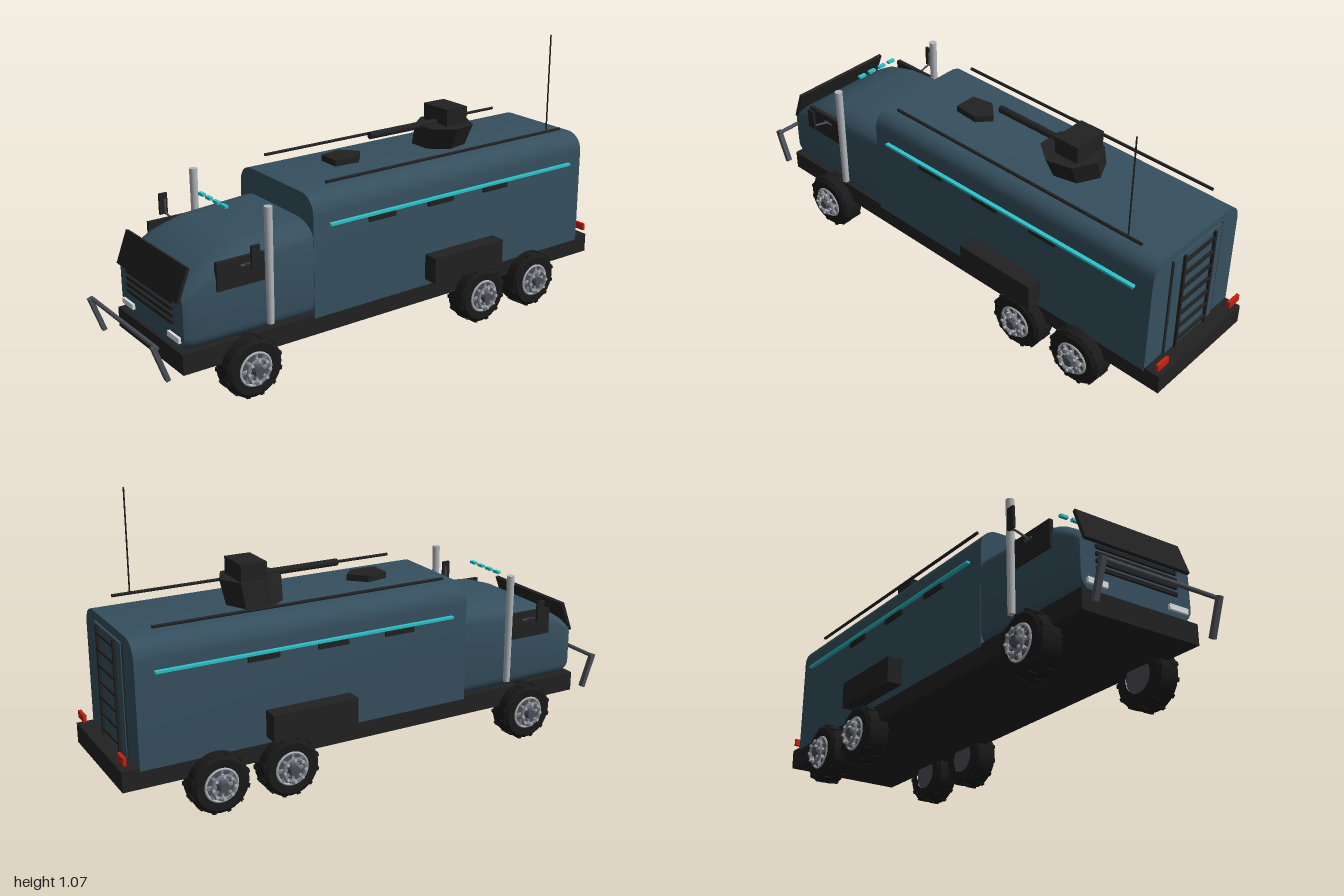
import * as THREE from 'three';
import { toCreasedNormals } from 'three/addons/utils/BufferGeometryUtils.js';

const mat = (name, color) => {
  const m = new THREE.MeshStandardMaterial({ color });
  m.name = name;
  return m;
};

export function createModel() {
  const root = new THREE.Group();
  root.name = 'armouredTruck';
  const paint = mat('bluePaint', 0x36505f);
  const black = mat('blackTrim', 0x222222);
  const rubber = mat('rubber', 0x1a1a1a);
  const grey = mat('greyMetal', 0x4c4f57);
  const chrome = mat('chrome', 0xb4b8bc);
  const rim = mat('rimMetal', 0x7d828a);
  const cyan = mat('cyanLight', 0x2bc4cc);
  const lamp = mat('headlightGlass', 0xdde3e6);
  const red = mat('tailRed', 0xc42210);

  const add = (name, geo, m, x = 0, y = 0, z = 0, parent = root) => {
    const mesh = new THREE.Mesh(geo, m);
    mesh.name = name;
    mesh.position.set(x, y, z);
    parent.add(mesh);
    return mesh;
  };
  const box = (name, w, h, d, m, x, y, z, parent) =>
    add(name, new THREE.BoxGeometry(w, h, d), m, x, y, z, parent);
  // round bar between two points
  const bar = (name, a, b, r, m, sides = 8) => {
    const p = new THREE.Vector3(...a), q = new THREE.Vector3(...b);
    const d = q.clone().sub(p);
    const mesh = add(name, new THREE.CylinderGeometry(r, r, d.length(), sides), m);
    mesh.position.copy(p.add(q).multiplyScalar(0.5));
    mesh.quaternion.setFromUnitVectors(new THREE.Vector3(0, 1, 0), d.normalize());
    return mesh;
  };

  // chassis
  box('chassis', 0.48, 0.075, 1.89, black, 0, 0.1825, -0.055);

  // cargo body: rounded-top section extruded along z
  const s = new THREE.Shape();
  s.moveTo(-0.243, 0.21);
  s.lineTo(0.243, 0.21);
  s.lineTo(0.24, 0.59);
  s.quadraticCurveTo(0.238, 0.652, 0.175, 0.662);
  s.lineTo(-0.175, 0.662);
  s.quadraticCurveTo(-0.238, 0.652, -0.24, 0.59);
  s.closePath();
  const bodyGeo = new THREE.ExtrudeGeometry(s, { depth: 1.302, bevelEnabled: false, curveSegments: 8 });
  add('cargoBody', toCreasedNormals(bodyGeo, 0.6), paint, 0, 0, -0.937);

  // cab: loft through rounded sections [z, half width, bottom, top, corner rx, top ry]
  const stations = [
    [0.36, 0.24, 0.215, 0.567, 0.11, 0.065],
    [0.64, 0.241, 0.215, 0.548, 0.11, 0.065],
    [0.755, 0.24, 0.215, 0.51, 0.09, 0.055],
    [0.85, 0.236, 0.215, 0.445, 0.06, 0.035],
    [0.876, 0.228, 0.222, 0.42, 0.05, 0.03],
  ];
  const N = 6, pos = [], idx = [];
  for (const [z, w, y0, y1, rx, ry] of stations) {
    const corners = [[1, y1, rx, ry, 0], [-1, y1, rx, ry, 1], [-1, y0, 0.05, 0.05, 2], [1, y0, 0.05, 0.05, 3]];
    for (const [sx, y, cx, cy, q] of corners) {
      for (let k = 0; k < N; k++) {
        const a = (q + k / (N - 1)) * Math.PI / 2;
        pos.push(sx * (w - cx) + cx * Math.cos(a), y + (q < 2 ? -cy : cy) + cy * Math.sin(a), z);
      }
    }
  }
  const R = 4 * N, last = (stations.length - 1) * R;
  for (let i = 0; i < stations.length - 1; i++) {
    for (let j = 0; j < R; j++) {
      const a = i * R + j, b = i * R + (j + 1) % R;
      idx.push(a, b, b + R, a, b + R, a + R);
    }
  }
  pos.push(0, 0.32, 0.876);
  for (let j = 0; j < R; j++) idx.push(last + R, last + j, last + (j + 1) % R);
  const cabGeo = new THREE.BufferGeometry();
  cabGeo.setAttribute('position', new THREE.Float32BufferAttribute(pos, 3));
  cabGeo.setIndex(idx);
  add('cab', toCreasedNormals(cabGeo, 0.6), paint);

  // windscreen plate, grille, roof marker lights
  box('windscreen', 0.44, 0.125, 0.012, black, 0, 0.454, 0.866).rotation.x = -0.36;
  for (let i = 0; i < 5; i++) box('grilleSlat', 0.335, 0.013, 0.014, black, 0, 0.308 + i * 0.0253, 0.878);
  for (const x of [-0.077, -0.026, 0.026, 0.077]) box('markerLight', 0.032, 0.01, 0.014, cyan, x, 0.638, 0.62);

  // bull bar
  bar('bullBar', [-0.25, 0.276, 0.985], [0.25, 0.276, 0.985], 0.008, grey);

  // wheel, built for the +x side with its axle along x
  const tyreProfile = [[0.06, -0.045], [0.095, -0.047], [0.108, -0.036], [0.111, 0], [0.108, 0.036], [0.095, 0.047], [0.06, 0.045]]
    .map(([r, y]) => new THREE.Vector2(r, y));
  const tyreGeo = toCreasedNormals(new THREE.LatheGeometry(tyreProfile, 28), 0.5);
  const wheel = (side, z) => {
    const g = new THREE.Group();
    g.name = 'wheel';
    g.position.set(side * 0.243, 0.114, z);
    g.rotation.z = -side * Math.PI / 2;
    root.add(g);
    add('tyre', tyreGeo, rubber, 0, 0, 0, g);
    add('rimDisc', new THREE.CylinderGeometry(0.062, 0.062, 0.08, 24), grey, 0, 0, 0, g);
    const ring = add('rimRing', new THREE.TorusGeometry(0.06, 0.005, 6, 28), chrome, 0, 0.045, 0, g);
    ring.rotation.x = Math.PI / 2;
    const inner = add('hubRing', new THREE.TorusGeometry(0.042, 0.007, 6, 20), rim, 0, 0.064, 0, g);
    inner.rotation.x = Math.PI / 2;
    add('hub', new THREE.CylinderGeometry(0.018, 0.024, 0.034, 12), grey, 0, 0.055, 0, g);
    for (let i = 0; i < 8; i++) {
      const a = i * Math.PI / 4, c = Math.cos(a), n = Math.sin(a);
      add('lugNut', new THREE.CylinderGeometry(0.006, 0.006, 0.03, 6), chrome, c * 0.041, 0.059, n * 0.041, g);
      box('spoke', 0.04, 0.012, 0.01, rim, c * 0.038, 0.046, n * 0.038, g).rotation.y = -a;
    }
    for (let i = 0; i < 24; i++) {
      const a = (i / 24) * Math.PI * 2, k = i % 2 ? 1 : -1;
      box('treadBlock', 0.01, 0.036, 0.014, rubber, Math.cos(a) * 0.107, k * 0.021, Math.sin(a) * 0.107, g).rotation.y = -a;
    }
  };

  // parts mirrored on both sides
  for (const m of [-1, 1]) {
    for (const z of [0.64, -0.395, -0.665]) wheel(m, z);
    box('headlight', 0.08, 0.02, 0.014, lamp, m * 0.168, 0.257, 0.879);
    box('bullBarPost', 0.02, 0.14, 0.016, grey, m * 0.24, 0.214, 0.972).rotation.x = 0.34;
    box('sideWindow', 0.016, 0.102, 0.185, black, m * 0.24, 0.464, 0.662);
    box('doorHandle', 0.006, 0.006, 0.04, grey, m * 0.249, 0.487, 0.645);
    bar('mirrorArm', [m * 0.245, 0.488, 0.645], [m * 0.315, 0.508, 0.645], 0.004, grey);
    bar('mirrorBracket', [m * 0.313, 0.5, 0.645], [m * 0.315, 0.56, 0.645], 0.004, grey);
    box('mirror', 0.01, 0.08, 0.032, black, m * 0.321, 0.54, 0.65);
    add('exhaustStack', new THREE.CylinderGeometry(0.015, 0.013, 0.425, 14), chrome, m * 0.254, 0.463, 0.555);
    box('storageBox', 0.066, 0.1, 0.335, black, m * 0.27, 0.285, -0.303);
    box('lightStrip', 0.016, 0.009, 1.17, cyan, m * 0.248, 0.551, -0.285);
    for (const z of [0.07, -0.203, -0.474]) box('gunPort', 0.014, 0.018, 0.12, black, m * 0.243, 0.532, z);
    bar('roofRail', [m * 0.198, 0.69, 0.283], [m * 0.198, 0.69, -0.853], 0.006, black);
    box('tailLight', 0.06, 0.027, 0.012, red, m * 0.21, 0.254, -0.986);
    box('ladderRail', 0.01, 0.41, 0.01, black, m * 0.085, 0.425, -0.95);
    box('doorSeam', 0.005, 0.41, 0.006, black, m * 0.14, 0.425, -0.938);
  }

  // rear door and ladder
  box('rearDoor', 0.27, 0.41, 0.01, paint, 0, 0.425, -0.939);
  for (let i = 0; i < 7; i++) box('ladderRung', 0.17, 0.009, 0.01, black, 0, 0.25 + i * 0.059, -0.95);

  // antenna
  bar('antenna', [0.188, 0.69, -0.79], [0.188, 1.075, -0.79], 0.003, black, 6);

  // roof hatch
  const hatch = new THREE.Shape([[-0.005, 0.015], [-0.064, -0.045], [-0.048, -0.13], [0.04, -0.13], [0.047, -0.03]]
    .map(([x, y]) => new THREE.Vector2(x, y)));
  add('roofHatch', new THREE.ExtrudeGeometry(hatch, { depth: 0.024, bevelEnabled: false }), black, 0, 0.676, 0)
    .rotation.x = -Math.PI / 2;

  // turret: seven-sided base leaning sideways, gun housing and barrel
  const base = new THREE.CylinderGeometry(0.115, 0.105, 0.092, 7).toNonIndexed();
  base.rotateY(Math.PI);
  const p = base.attributes.position;
  for (let i = 0; i < p.count; i++) p.setX(i, p.getX(i) + (p.getY(i) > 0 ? 0.014 : -0.02));
  base.computeVertexNormals();
  add('turretBase', base, black, 0, 0.704, -0.405);
  box('gunHousing', 0.14, 0.07, 0.1, black, 0, 0.78, -0.423);
  bar('gunBarrel', [0, 0.752, -0.4], [0, 0.752, -0.055], 0.014, black, 10);

  return root;
}
